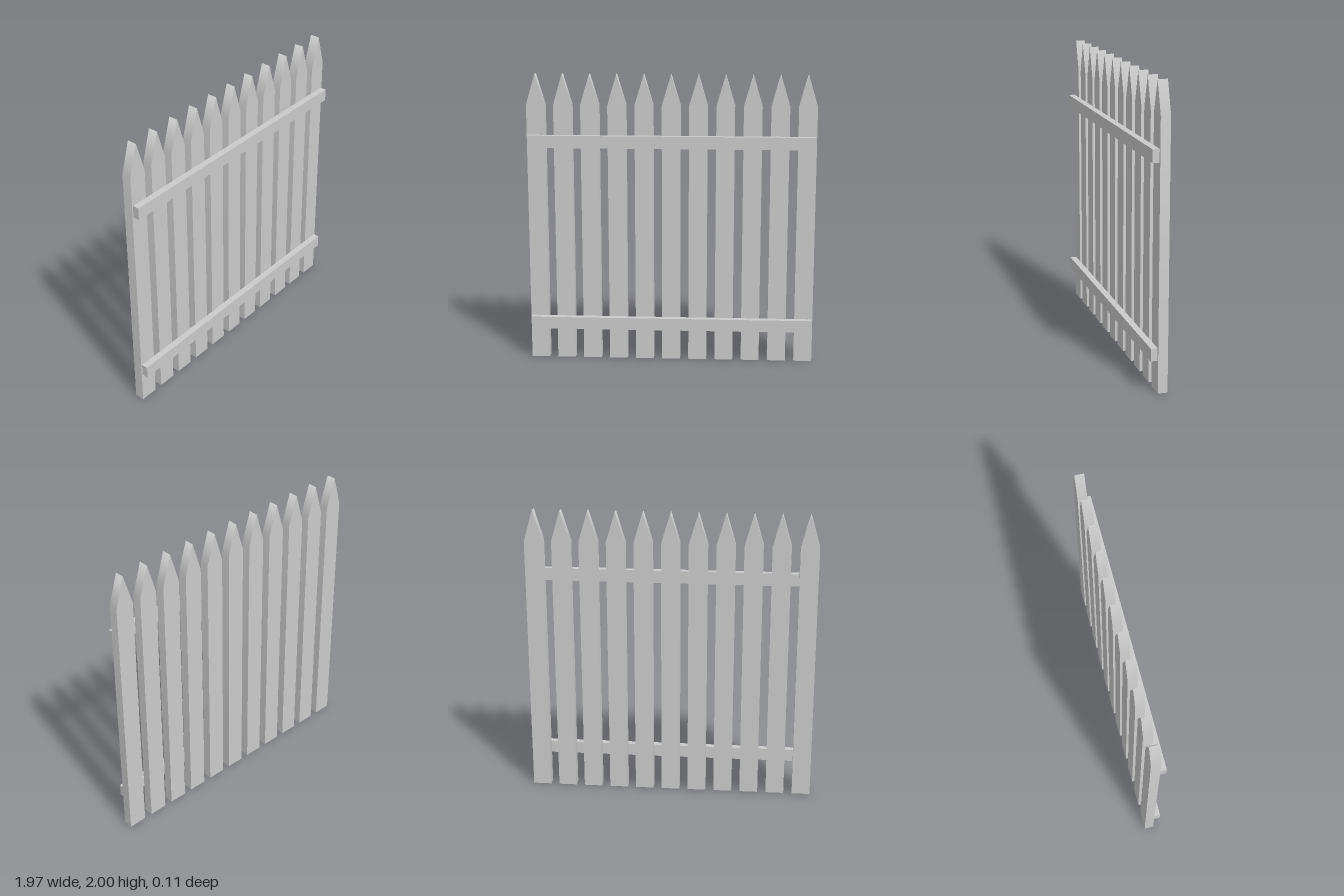
import * as THREE from 'three';

const HEIGHT = 2, SHOULDER = 1.79, HALF = 0.063;
const BACK = -0.055, MID = 0.01, FRONT = 0.055;
const COUNT = 11, SPACING = 0.1846;

// Pointed board; normals are softened along the sloped edge of the tip
function picketGeometry() {
  const shape = new THREE.Shape();
  shape.moveTo(-HALF, 0);
  shape.lineTo(HALF, 0);
  shape.lineTo(HALF, SHOULDER);
  shape.lineTo(0, HEIGHT);
  shape.lineTo(-HALF, SHOULDER);
  shape.closePath();
  const geo = new THREE.ExtrudeGeometry(shape, { depth: MID - BACK, bevelEnabled: false });
  geo.translate(0, 0, BACK);

  const pos = geo.attributes.position, nor = geo.attributes.normal;
  const tilt = Math.atan2(HALF, HEIGHT - SHOULDER) / 2;
  for (let i = 0; i < pos.count; i++) {
    if (Math.abs(nor.getZ(i)) > 0.5) continue;
    const y = pos.getY(i);
    if (y > HEIGHT - 0.01) nor.setXYZ(i, 0, 1, 0);
    else if (y > SHOULDER - 0.01) nor.setXYZ(i, Math.sign(pos.getX(i)) * Math.cos(tilt), Math.sin(tilt), 0);
  }
  return geo;
}

export function createModel() {
  const fence = new THREE.Group();
  fence.name = 'picketFence';
  const material = new THREE.MeshStandardMaterial({ color: 0xcccccc });

  // Row of upright pickets
  const pickets = new THREE.Group();
  pickets.name = 'pickets';
  const board = picketGeometry();
  for (let i = 0; i < COUNT; i++) {
    const picket = new THREE.Mesh(board, material);
    picket.name = `picket${i + 1}`;
    picket.position.x = (i - (COUNT - 1) / 2) * SPACING;
    pickets.add(picket);
  }
  fence.add(pickets);

  // Two horizontal rails on the front
  const bar = new THREE.BoxGeometry(1.952, 0.085, FRONT - MID);
  for (const [name, y] of [['lowerRail', 0.263], ['upperRail', 1.544]]) {
    const rail = new THREE.Mesh(bar, material);
    rail.name = name;
    rail.position.set(-0.002, y, (FRONT + MID) / 2);
    fence.add(rail);
  }
  return fence;
}
